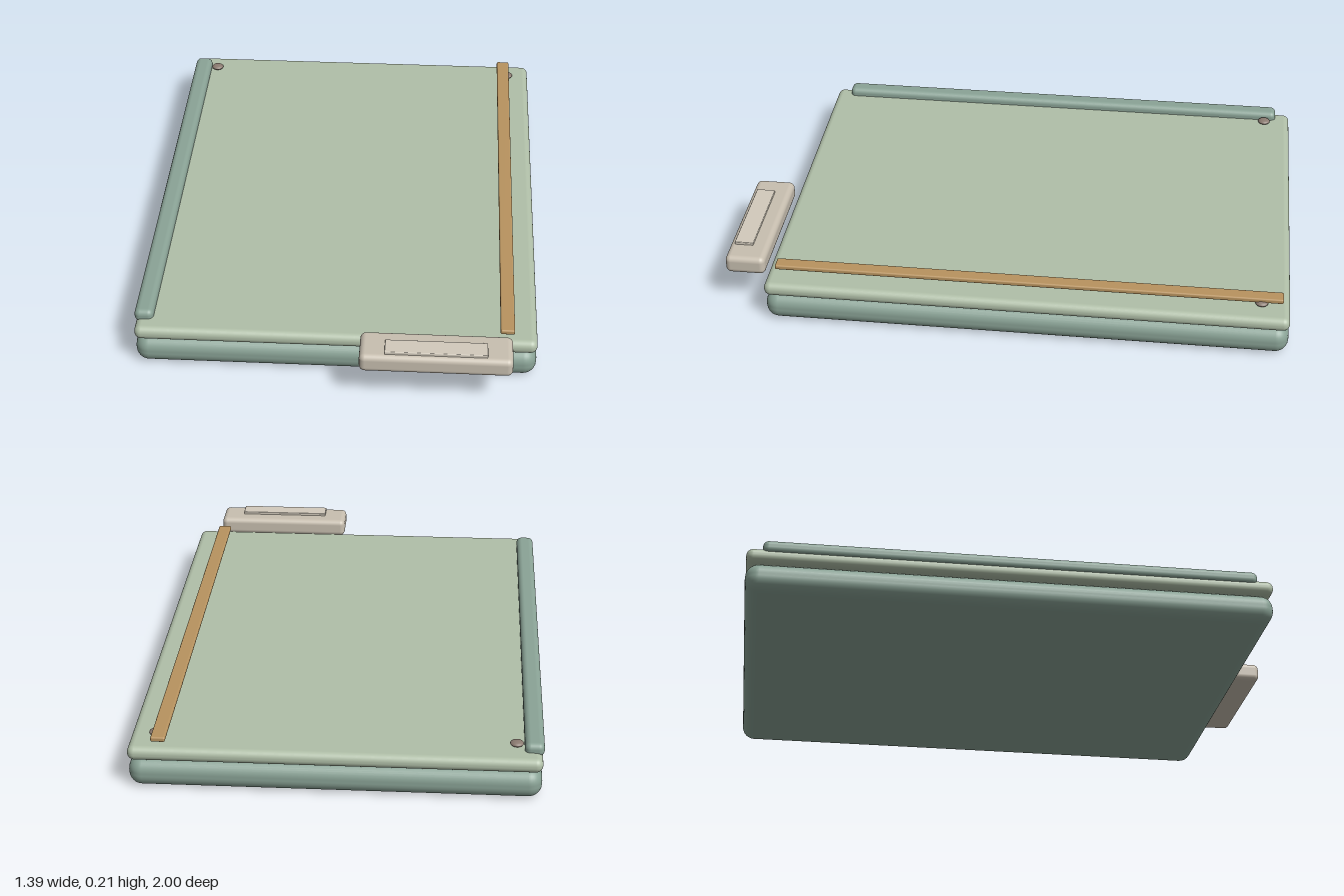
import * as THREE from 'three';
import { RoundedBoxGeometry } from 'three/addons/geometries/RoundedBoxGeometry.js';

const paint = (color) => new THREE.MeshStandardMaterial({ color });

export function createModel() {
  const model = new THREE.Group();
  const sage = paint(0x8aa396), paleSage = paint(0xb0bfa8), tan = paint(0xb8935f);
  const stone = paint(0xc8bfb0), paleStone = paint(0xd2cabc), bronze = paint(0x8a7a70);

  // Rounded box given by its min and max corners
  function slab(name, [x0, y0, z0], [x1, y1, z1], radius, material) {
    const geometry = new RoundedBoxGeometry(x1 - x0, y1 - y0, z1 - z0, 4, radius);
    const mesh = new THREE.Mesh(geometry, material);
    mesh.position.set((x0 + x1) / 2, (y0 + y1) / 2, (z0 + z1) / 2);
    mesh.name = name;
    model.add(mesh);
  }

  // Stacked body and cover
  slab('body', [-0.692, 0, -1], [0.692, 0.102, 0.845], 0.046, sage);
  slab('cover', [-0.692, 0.102, -1], [0.692, 0.153, 0.845], 0.024, paleSage);

  // Spine bar and strap along the long edges
  slab('spine', [-0.697, 0.135, -0.945], [-0.631, 0.183, 0.787], 0.02, sage);
  slab('strap', [0.564, 0.166, -0.975], [0.613, 0.184, 0.817], 0.006, tan);

  // Clasp beyond the front edge, with a raised plate
  slab('clasp', [0.09, 0.13, 0.857], [0.605, 0.198, 1], 0.02, stone);
  slab('claspPlate', [0.175, 0.19, 0.915], [0.52, 0.208, 0.982], 0.003, paleStone);

  // Flattened rivets in the back corners
  for (const side of [-1, 1]) {
    const rivet = new THREE.Mesh(new THREE.SphereGeometry(0.023, 24, 16), bronze);
    rivet.scale.y = 0.42;
    rivet.position.set(side * 0.605, 0.164, -0.9);
    rivet.name = side < 0 ? 'rightRivet' : 'leftRivet';
    model.add(rivet);
  }
  return model;
}
